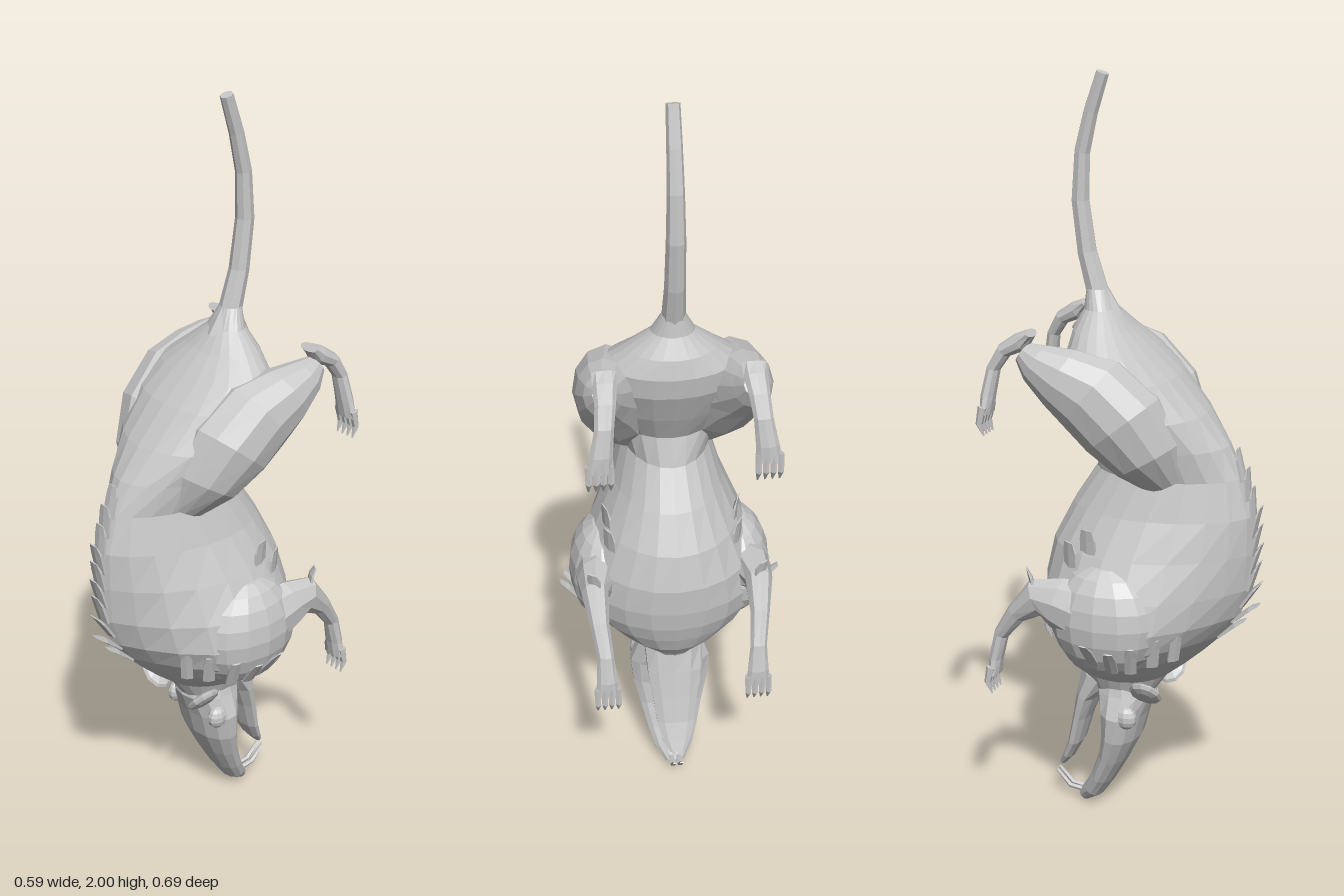
import * as THREE from 'three';

const fur = new THREE.MeshStandardMaterial({ color: 0xc8c8c8, flatShading: true });
fur.name = 'greyFur';

// Closed skin over rings. Row: [x, y, z, halfWidth, depth, oppositeDepth, pinch].
// Rings stand square to the path in the yz plane, or lie level when level is true.
function loft(rows, sides = 10, level = false) {
  const pos = [], idx = [], n = rows.length;
  rows.forEach(([x, y, z, w, d, d2 = d, pinch = 1], i) => {
    const a = rows[Math.max(i - 1, 0)], b = rows[Math.min(i + 1, n - 1)];
    let ty = level ? 1 : b[1] - a[1], tz = level ? 0 : b[2] - a[2];
    const len = Math.hypot(ty, tz) || 1;
    ty /= len; tz /= len;
    for (let j = 0; j < sides; j++) {
      const t = -2 * Math.PI * j / sides, c = Math.sin(t), s = Math.cos(t);
      const px = Math.sign(c) * Math.abs(c) ** (s > 0 ? pinch : 1) * w;
      const q = s * (s > 0 ? d : d2);
      pos.push(x - px, y - tz * q, z + ty * q);
    }
  });
  for (let i = 0; i < n - 1; i++) {
    for (let j = 0; j < sides; j++) {
      const k = (j + 1) % sides, a = i * sides, b = a + sides;
      idx.push(a + j, a + k, b + k, a + j, b + k, b + j);
    }
  }
  // End caps
  const first = pos.length / 3, e = (n - 1) * sides;
  pos.push(...rows[0].slice(0, 3), ...rows[n - 1].slice(0, 3));
  for (let j = 0; j < sides; j++) {
    const k = (j + 1) % sides;
    idx.push(first, k, j, first + 1, e + j, e + k);
  }
  const g = new THREE.BufferGeometry();
  g.setAttribute('position', new THREE.Float32BufferAttribute(pos, 3));
  // Keep every face pointing outwards
  let volume = 0;
  const v = [0, 1, 2].map(() => new THREE.Vector3());
  for (let i = 0; i < idx.length; i += 3) {
    v.forEach((p, m) => p.fromArray(pos, idx[i + m] * 3));
    volume += v[0].dot(v[1].clone().cross(v[2]));
  }
  if (volume < 0) idx.reverse();
  g.setIndex(idx);
  g.computeVertexNormals();
  return g;
}

export function createModel() {
  const model = new THREE.Group();
  model.name = 'rodent';
  const add = (name, geometry) => {
    const m = new THREE.Mesh(geometry, fur);
    m.name = name;
    model.add(m);
    return m;
  };
  const ball = (name, p, r, w = 12, h = 8) => {
    const m = add(name, new THREE.SphereGeometry(1, w, h));
    m.position.set(...p);
    m.scale.set(...r);
    return m;
  };
  // Flat tuft of fur, leaning out from the skin and pointing to the tail
  const tuft = (name, x, y, z, yaw, tilt, length, width) => {
    const m = add(name, loft([
      [0, -0.02, 0, width, 0.006], [0, length * 0.6, 0, width, 0.006], [0, length, 0.004, width * 0.7, 0.002],
    ], 6));
    m.position.set(x, y, z);
    m.rotation.set(tilt, yaw, 0, 'YXZ');
  };

  // Body: level rings of [height, wide line z, half width, back z, belly z, back pinch]
  const body = [
    [0.37, -0.03, 0.075, 0.05, -0.13, 1], [0.42, -0.03, 0.095, 0.085, -0.16, 1.3],
    [0.46, -0.02, 0.155, 0.135, -0.19, 1.6], [0.51, -0.01, 0.21, 0.19, -0.21, 1.9],
    [0.56, 0, 0.245, 0.24, -0.225, 2], [0.62, 0, 0.255, 0.285, -0.235, 1.9],
    [0.70, 0, 0.235, 0.315, -0.24, 1.8], [0.80, 0.01, 0.19, 0.322, -0.22, 1.5],
    [0.90, 0.04, 0.145, 0.32, -0.17, 1.3], [1.0, 0.08, 0.115, 0.29, -0.105, 1.2],
    [1.08, 0.07, 0.14, 0.25, -0.085, 1.1], [1.16, 0.03, 0.18, 0.19, -0.125, 1],
    [1.25, -0.02, 0.198, 0.11, -0.165, 1], [1.31, -0.055, 0.175, 0.045, -0.175, 1],
    [1.36, -0.075, 0.115, -0.01, -0.165, 1], [1.41, -0.09, 0.055, -0.055, -0.14, 1],
    [1.46, -0.107, 0.03, -0.08, -0.135, 1],
  ].map(([y, z, w, back, belly, p]) => [0, y, z, w, back - z, z - belly, p]);
  add('body', loft(body, 22, true));

  add('tail', loft([
    [1.38, -0.08, 0.045], [1.45, -0.107, 0.03], [1.55, -0.135, 0.026], [1.68, -0.152, 0.024],
    [1.8, -0.146, 0.021], [1.9, -0.122, 0.019], [1.996, -0.09, 0.017],
  ].map(([y, z, r]) => [0, y, z, r, r]), 8));

  // Head with a shallow palate, open jaw and teeth
  add('headAndSnout', loft([
    [0, 0.43, -0.03, 0.075, 0.07], [0, 0.37, -0.03, 0.09, 0.085], [0, 0.31, -0.035, 0.112, 0.06, 0.066],
    [0, 0.24, -0.045, 0.106, 0.045, 0.057], [0, 0.17, -0.066, 0.088, 0.034, 0.044], [0, 0.10, -0.097, 0.07, 0.027, 0.036],
    [0, 0.05, -0.125, 0.052, 0.026, 0.031], [0, 0.018, -0.155, 0.025, 0.018],
  ], 14));
  add('lowerJaw', loft([
    [0, 0.41, -0.1, 0.08, 0.055], [0, 0.34, -0.135, 0.075, 0.03], [0, 0.27, -0.155, 0.064, 0.022],
    [0, 0.19, -0.175, 0.054, 0.019], [0, 0.14, -0.198, 0.04, 0.015], [0, 0.11, -0.217, 0.022, 0.009],
  ], 10));

  for (const s of [1, -1]) {
    const side = s > 0 ? 'left' : 'right';
    const limb = (name, rows, sides) =>
      add(side + name, loft(rows.map(([x, ...r]) => [x * s, ...r]), sides));
    // Four curved claws below a paw
    const claws = (name, x, y, z) => {
      for (let i = 0; i < 4; i++) {
        const cx = x + (i - 1.5) * 0.018;
        limb(name, [
          [cx, y + 0.02, z, 0.009, 0.013], [cx, y - 0.025, z - 0.01, 0.008, 0.01],
          [cx, y - 0.055, z + 0.002, 0.002, 0.002],
        ], 5);
      }
    };

    limb('UpperTooth', [
      [0.01, 0.035, -0.155, 0.008, 0.007], [0.01, 0.04, -0.195, 0.008, 0.006], [0.01, 0.083, -0.235, 0.006, 0.002],
    ], 5);
    limb('LowerTooth', [
      [0.009, 0.13, -0.205, 0.007, 0.006], [0.009, 0.1, -0.222, 0.006, 0.003],
    ], 5);
    ball(side + 'Eye', [s * 0.086, 0.315, 0.0], [0.022, 0.032, 0.03], 10, 7);
    ball(side + 'Ear', [s * 0.098, 0.402, 0.06], [0.054, 0.015, 0.045], 10, 6).rotation.z = s * 0.85;

    // Front leg
    ball(side + 'Shoulder', [s * 0.175, 0.635, -0.02], [0.095, 0.15, 0.15], 14, 10);
    limb('FrontLeg', [
      [0.19, 0.65, -0.06, 0.07, 0.09], [0.205, 0.675, -0.14, 0.052, 0.07], [0.215, 0.685, -0.195, 0.036, 0.05],
      [0.21, 0.63, -0.255, 0.026, 0.028], [0.2, 0.56, -0.305, 0.022, 0.02],
      [0.198, 0.49, -0.322, 0.028, 0.018], [0.198, 0.445, -0.325, 0.034, 0.014],
    ], 9);
    claws('FrontClaw', 0.198, 0.45, -0.327);
    tuft(side + 'ElbowTuft', s * 0.215, 0.71, -0.205, s * 2.6, 0.2, 0.055, 0.02);
    tuft(side + 'FlankTuft', s * 0.168, 0.80, -0.07, s * 1.9, 0.05, 0.07, 0.028);
    tuft(side + 'FlankTuft', s * 0.165, 0.76, -0.12, s * 2.1, 0.05, 0.07, 0.028);

    // Hind leg
    limb('Thigh', [
      [0.09, 0.985, 0.115, 0.03, 0.05], [0.11, 1.06, 0.075, 0.085, 0.095], [0.135, 1.15, 0.015, 0.102, 0.118],
      [0.155, 1.225, -0.06, 0.092, 0.112], [0.172, 1.265, -0.135, 0.073, 0.084],
      [0.182, 1.30, -0.2, 0.048, 0.054], [0.182, 1.325, -0.235, 0.028, 0.028],
    ], 12);
    limb('HindFoot', [
      [0.18, 1.375, -0.213, 0.03, 0.012], [0.181, 1.35, -0.24, 0.03, 0.025], [0.184, 1.325, -0.285, 0.026, 0.02],
      [0.19, 1.28, -0.312, 0.024, 0.017], [0.2, 1.21, -0.324, 0.029, 0.018], [0.205, 1.165, -0.327, 0.035, 0.014],
    ], 9);
    claws('HindClaw', 0.205, 1.165, -0.327);

    // Fringe of tufts round the shoulder
    [[0.145, 0.55, 0.155, 0.8, 0.25], [0.18, 0.54, 0.11, 1, 0.3], [0.22, 0.53, 0.065, 1.2, 0.4],
      [0.24, 0.53, 0.02, 1.4, 0.6], [0.25, 0.55, -0.03, 1.7, 0.65]].forEach(([x, y, z, yaw, tilt]) =>
      tuft(side + 'ShoulderTuft', s * x, y, z, s * yaw, tilt, 0.07, 0.018));
  }

  // Crest of overlapping tufts along the spine
  for (let i = 0; i < 10; i++) {
    const y = 0.57 + i * 0.049;
    const k = body.findIndex(r => r[1] > y), a = body[k - 1], b = body[k];
    const z = THREE.MathUtils.lerp(a[2] + a[4], b[2] + b[4], (y - a[1]) / (b[1] - a[1]));
    const slope = Math.atan2(b[2] + b[4] - a[2] - a[4], b[1] - a[1]);
    tuft('spineTuft', 0, y, z, 0, slope + 0.22, 0.066, 0.023);
  }
  return model;
}
